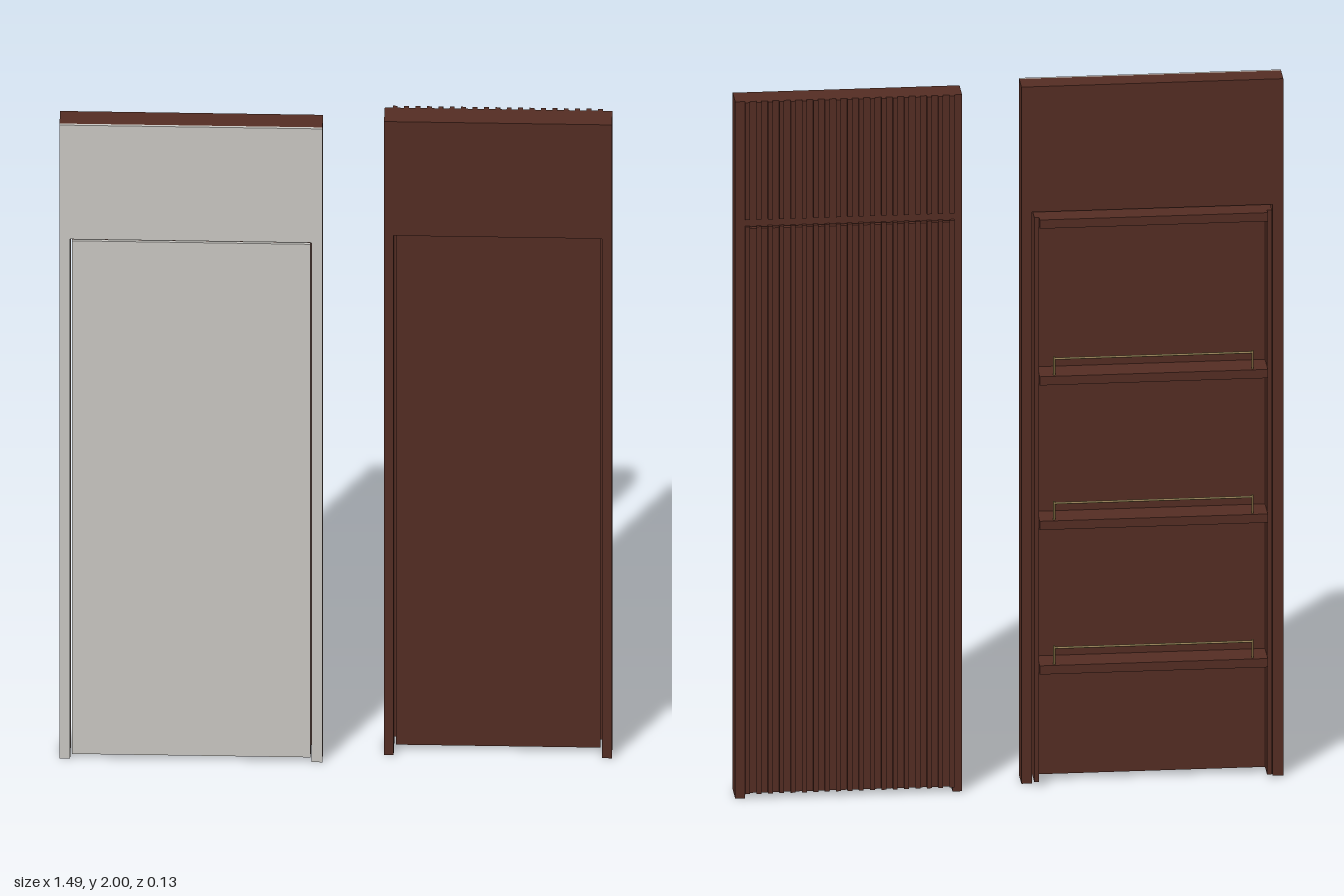
import * as THREE from 'three';

const wood = new THREE.MeshStandardMaterial({ color: 0x542d23 });
wood.name = 'dark wood';
const lacquer = new THREE.MeshStandardMaterial({ color: 0xcac8c3 });
lacquer.name = 'pale grey lacquer';
const brass = new THREE.MeshStandardMaterial({ color: 0x8f7a4a });
brass.name = 'aged brass';

// Box given by its limits on each axis
function box(parent, name, mat, [x0, x1], [y0, y1], [z0, z1]) {
  const mesh = new THREE.Mesh(new THREE.BoxGeometry(x1 - x0, y1 - y0, z1 - z0), mat);
  mesh.position.set((x0 + x1) / 2, (y0 + y1) / 2, (z0 + z1) / 2);
  mesh.name = name;
  parent.add(mesh);
  return mesh;
}

function rod(parent, name, length, radius, x, y, z, horizontal) {
  const mesh = new THREE.Mesh(new THREE.CylinderGeometry(radius, radius, length, 10), brass);
  if (horizontal) mesh.rotation.z = Math.PI / 2;
  mesh.position.set(x, y, z);
  mesh.name = name;
  parent.add(mesh);
}

// Two jambs and a header, each a wooden core with a thin facing
function surround(parent, x0, x1, jamb, back, front, facing) {
  const pieces = [
    ['leftJamb', [x1 - jamb, x1], [0, 1.64]],
    ['rightJamb', [x0, x0 + jamb], [0, 1.64]],
    ['header', [x0, x1], [1.64, 2]],
  ];
  for (const [name, xs, ys] of pieces) {
    box(parent, name, wood, xs, ys, [back, front - 0.008]);
    box(parent, name + 'Facing', facing, xs, ys, [front - 0.008, front]);
  }
}

// Pale-fronted door with shelves on its back
function shelfPanel() {
  const g = new THREE.Group();
  g.name = 'shelfDoorPanel';
  surround(g, -0.745, -0.035, 0.029, -0.01, 0.063, lacquer);

  const door = new THREE.Group();
  door.name = 'shelfDoor';
  g.add(door);
  const x0 = -0.711, x1 = -0.067, y0 = 0.015, y1 = 1.635;
  box(door, 'doorFacing', lacquer, [x0, x1], [y0, y1], [0.055, 0.063]);
  box(door, 'doorCore', wood, [x0, x1], [y0, y1], [0.02, 0.055]);
  box(door, 'leftStile', wood, [x1 - 0.013, x1], [y0, y1], [-0.04, 0.02]);
  box(door, 'rightStile', wood, [x0, x0 + 0.013], [y0, y1], [-0.04, 0.02]);

  const inner = [x0 + 0.013, x1 - 0.013];
  box(door, 'topShelf', wood, inner, [1.61, y1], [-0.06, 0.02]);
  for (const y of [0.33, 0.745, 1.16]) {
    box(door, 'shelf', wood, inner, [y, y + 0.025], [-0.06, 0.02]);
    // Guard rail on two posts
    const left = inner[0] + 0.04, right = inner[1] - 0.04;
    rod(door, 'guardRail', right - left, 0.003, (left + right) / 2, y + 0.072, -0.05, true);
    for (const x of [left, right]) rod(door, 'railPost', 0.055, 0.003, x, y + 0.05, -0.05, false);
  }
  return g;
}

// Wooden door with vertical slats on its back
function slatPanel() {
  const g = new THREE.Group();
  g.name = 'slattedDoorPanel';
  surround(g, 0.13, 0.745, 0.026, -0.053, 0.02, wood);
  box(g, 'slattedDoor', wood, [0.162, 0.713], [0.015, 1.635], [-0.053, -0.01]);

  const count = 19;
  for (let i = 0; i < count; i++) {
    const x = 0.158 + (i / (count - 1)) * 0.554;
    const xs = [x - 0.0065, x + 0.0065];
    box(g, 'lowerSlat', wood, xs, [0.015, 1.643], [-0.063, -0.053]);
    box(g, 'upperSlat', wood, xs, [1.663, 2], [-0.063, -0.053]);
  }
  return g;
}

export function createModel() {
  const model = new THREE.Group();
  model.name = 'doorPanels';
  model.add(shelfPanel(), slatPanel());
  return model;
}
